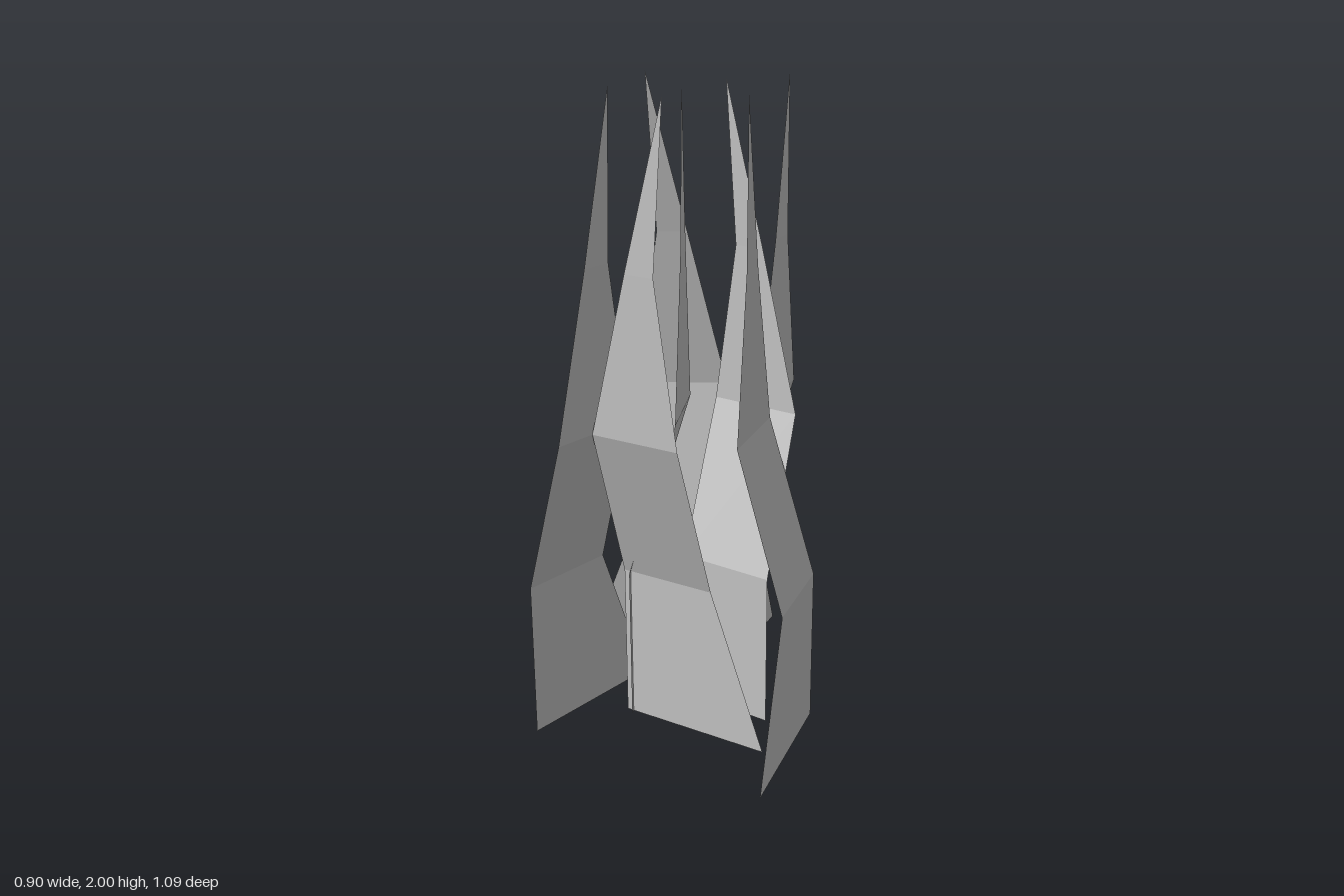
import * as THREE from 'three';

// Cross-sections of one blade: height, near edge, far edge, forward lean
const SECTIONS = [
  [0, 0, 0.5, 0],
  [0.5, 0, 0.315, 0],
  [1, 0, 0.295, 0.15],
  [1.5, 0.125, 0.222, 0.15],
  [2, 0.25, 0.25, 0.137],
];

// Blade placement: x, z of the upright edge and turn about the vertical
const BLADES = [
  ['frontBlade', -0.175, 0.26, 0.065],
  ['frontRightBlade', -0.329, 0.53, 1.47],
  ['innerRightBlade', -0.141, 0.281, 2.034],
  ['outerRightBlade', -0.03, -0.09, -2.568],
  ['backBlade', -0.05, -0.054, 1.729],
  ['middleBlade', 0.235, 0.07, Math.PI],
  ['leftBlade', 0.33, -0.05, -1.329],
];

// Thin folded sheet that narrows to a point
function bladeGeometry() {
  const positions = [];
  const index = [];
  SECTIONS.forEach(([y, near, far, lean], i) => {
    positions.push(near, y, lean, far, y, lean);
    if (i === 0) return;
    const a = 2 * (i - 1);
    index.push(a, a + 1, a + 2);
    if (near !== far) index.push(a + 1, a + 3, a + 2);
  });
  const indexed = new THREE.BufferGeometry();
  indexed.setAttribute('position', new THREE.Float32BufferAttribute(positions, 3));
  indexed.setIndex(index);
  const geometry = indexed.toNonIndexed();
  geometry.computeVertexNormals();
  return geometry;
}

export function createModel() {
  const model = new THREE.Group();
  model.name = 'grassTuft';
  const geometry = bladeGeometry();
  const material = new THREE.MeshStandardMaterial({
    color: 0xcccccc, flatShading: true, side: THREE.DoubleSide,
  });
  for (const [name, x, z, turn] of BLADES) {
    const blade = new THREE.Mesh(geometry, material);
    blade.name = name;
    blade.position.set(x, 0, z);
    blade.rotation.y = turn;
    model.add(blade);
  }
  return model;
}
